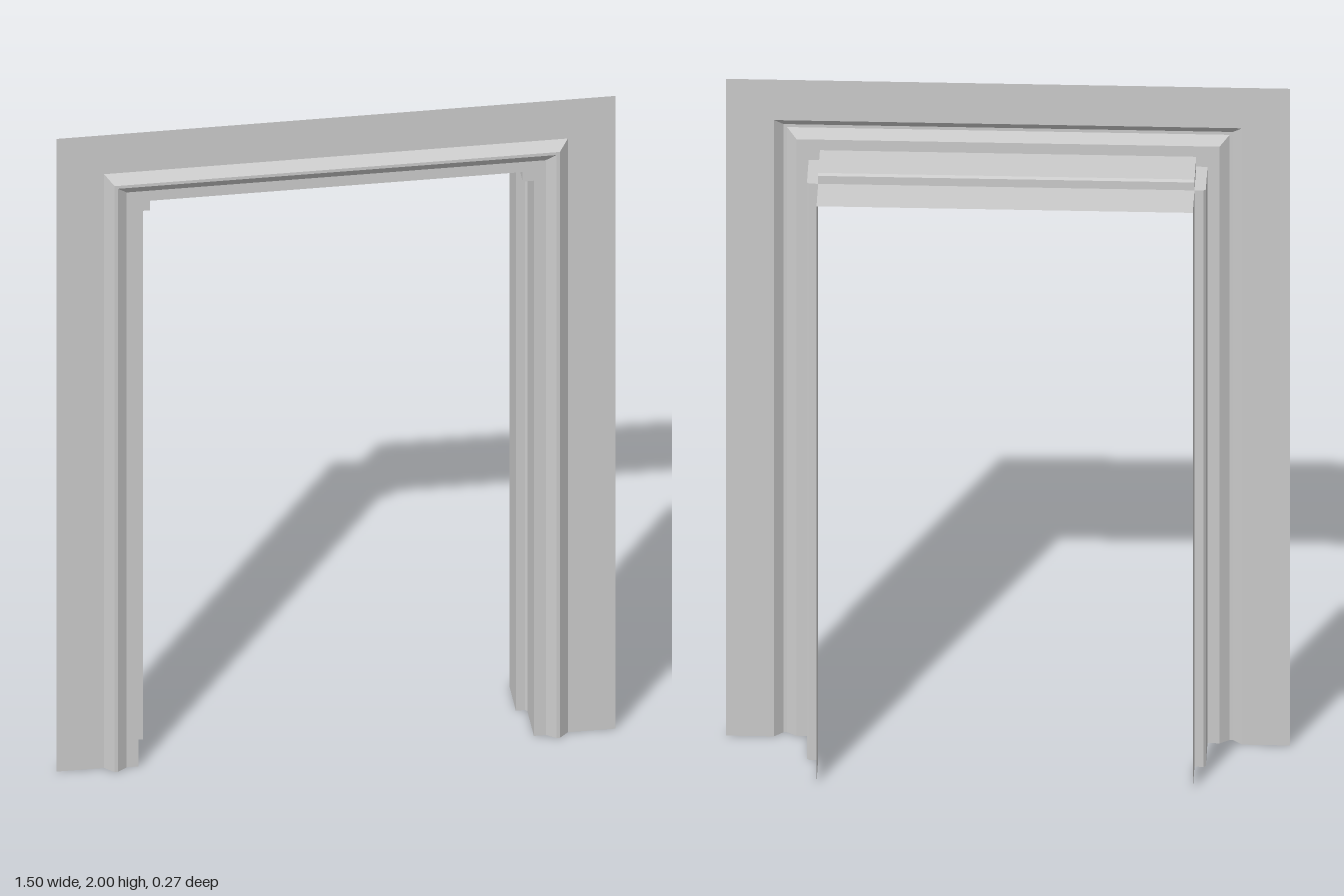
import * as THREE from 'three';

const material = new THREE.MeshStandardMaterial({
  color: 0xcccccc, flatShading: true, side: THREE.DoubleSide,
});

// Doorway-shaped outline, half width w and height t at depth z.
// v and s cut a square notch into the two top corners.
function outline(w, t, z, v = w, s = t) {
  const half = [[w, 0], [w, s], [v, s], [v, t]];
  const mirrored = half.map(([x, y]) => [-x, y]).reverse();
  return [...half, ...mirrored].map(([x, y]) => new THREE.Vector3(x, y, z));
}

// Joins successive outlines with faces, skipping collapsed triangles.
function loft(name, rings) {
  const points = [];
  const addTriangle = (a, b, c) => {
    if (new THREE.Triangle(a, b, c).getArea() > 1e-8) points.push(a, b, c);
  };
  for (let r = 0; r < rings.length - 1; r++) {
    const a = rings[r], b = rings[r + 1];
    for (let i = 0; i < a.length - 1; i++) {
      addTriangle(a[i], a[i + 1], b[i + 1]);
      addTriangle(a[i], b[i + 1], b[i]);
    }
  }
  const geometry = new THREE.BufferGeometry().setFromPoints(points);
  geometry.computeVertexNormals();
  const mesh = new THREE.Mesh(geometry, material);
  mesh.name = name;
  return mesh;
}

export function createModel() {
  const group = new THREE.Group();
  group.name = 'doorFrame';

  const wallZ = 0.111, lipZ = 0.116, faceZ = 0.135, stopZ = -0.013, backZ = -0.135;
  const openW = 0.5, openT = 1.755;      // clear opening
  const rebW = 0.53, rebT = 1.785;       // rebate for the door leaf
  const bevel = 0.006;
  const rebate = (inset, z) => outline(rebW - inset, rebT - inset, z, openW, openT);

  // Flat wall surround
  group.add(loft('wallPanel', [
    outline(0.75, 2, wallZ),
    outline(0.622, 1.877, wallZ),
  ]));

  // Moulded casing with mitred corners
  group.add(loft('casing', [
    outline(0.622, 1.877, wallZ),
    outline(0.597, 1.852, faceZ),
    outline(0.588, 1.843, faceZ),
    outline(0.562, 1.817, lipZ),
    rebate(0, lipZ),
  ]));

  // Rebate, notched at the top corners, with a small bevel into the stop
  group.add(loft('rebate', [
    rebate(0, lipZ),
    rebate(0, stopZ + bevel),
    rebate(bevel, stopZ),
  ]));

  // Stop face and rear lining of the jambs and head
  group.add(loft('lining', [
    rebate(bevel, stopZ),
    outline(openW, openT, stopZ),
    outline(openW, openT, backZ),
  ]));

  return group;
}
